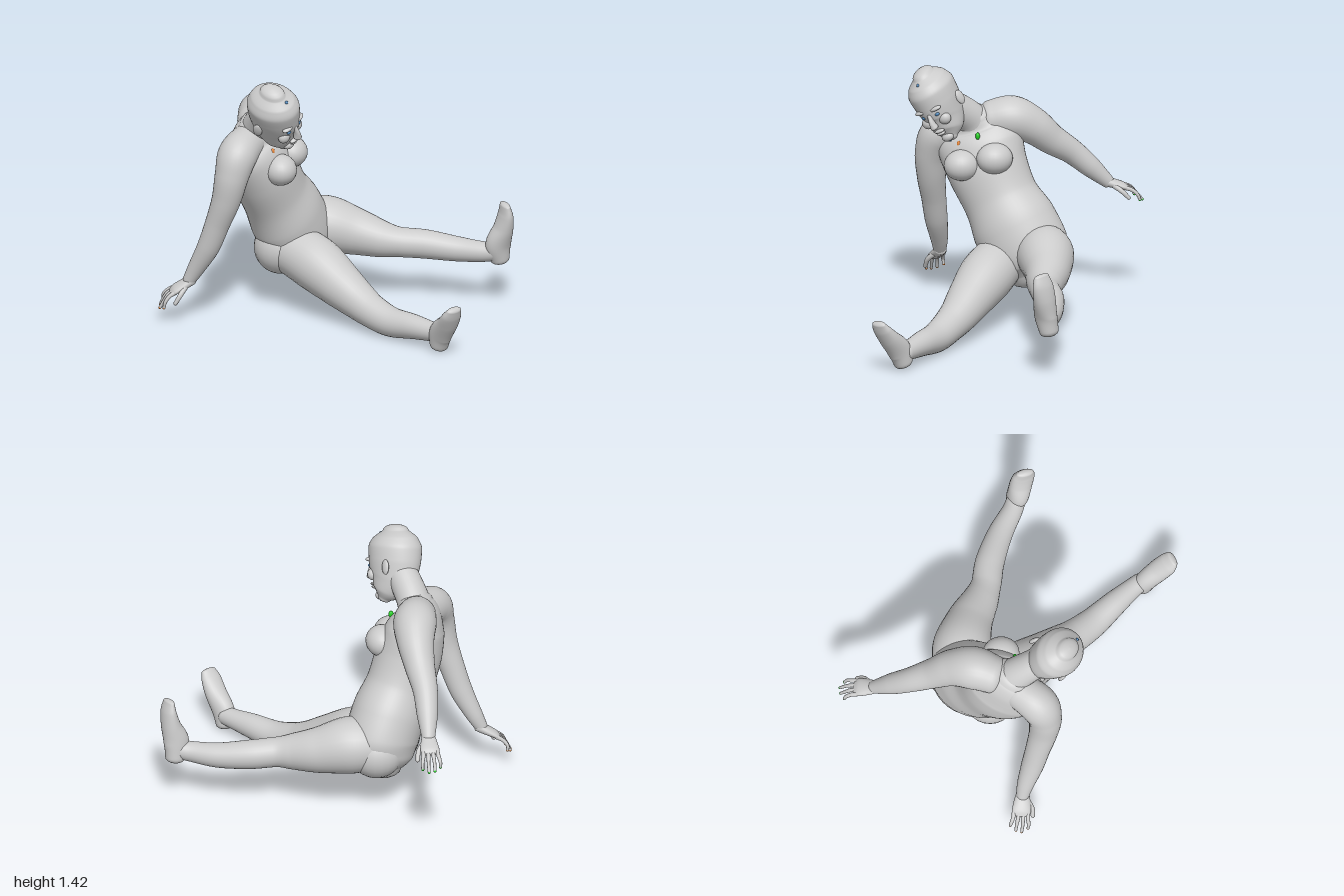
import * as THREE from 'three';

const V = (a) => new THREE.Vector3(...a);
const grey = new THREE.MeshStandardMaterial({ color: 0xcccccc });
const tint = (c) => new THREE.MeshStandardMaterial({ color: c });
const blue = tint(0x4f86b8), green = tint(0x22cc22), orange = tint(0xe08030);

// Smooth skin over rings [x, y, z, halfWidth, halfDepth], with rounded ends
function loft(name, rings, side = [1, 0, 0], { seg = 28, steps = 8, cap = 0.6 } = {}) {
  const path = new THREE.CatmullRomCurve3(rings.map((r) => V(r)));
  const size = new THREE.CatmullRomCurve3(rings.map((r) => V([r[3], r[4] ?? r[3], 0])));
  const sections = [];
  const add = (t, scale = 1, push = 0) => {
    const dir = path.getTangent(t), s = size.getPoint(t);
    const c = path.getPoint(t).addScaledVector(dir, push * Math.min(s.x, s.y));
    const u = V(side).addScaledVector(dir, -V(side).dot(dir)).normalize();
    sections.push({ c, u: u.clone().multiplyScalar(s.x * scale), v: u.cross(dir).multiplyScalar(s.y * scale) });
  };
  const n = (rings.length - 1) * steps;
  for (let k = 5; k > 0; k--) add(0, Math.cos(k * Math.PI / 10) + 0.001, -cap * Math.sin(k * Math.PI / 10));
  for (let i = 0; i <= n; i++) add(i / n);
  for (let k = 1; k <= 5; k++) add(1, Math.cos(k * Math.PI / 10) + 0.001, cap * Math.sin(k * Math.PI / 10));
  const pos = [], idx = [];
  sections.forEach(({ c, u, v }, i) => {
    for (let j = 0; j < seg; j++) {
      const a = (j / seg) * Math.PI * 2;
      const p = c.clone().addScaledVector(u, Math.cos(a)).addScaledVector(v, Math.sin(a));
      pos.push(p.x, p.y, p.z);
      if (i === sections.length - 1) continue;
      const q = i * seg + j, r = i * seg + (j + 1) % seg;
      idx.push(q, q + seg, r, r, q + seg, r + seg);
    }
  });
  const g = new THREE.BufferGeometry();
  g.setAttribute('position', new THREE.Float32BufferAttribute(pos, 3));
  g.setIndex(idx);
  g.computeVertexNormals();
  const m = new THREE.Mesh(g, grey);
  m.name = name;
  return m;
}

function blob(name, at, radii, material = grey) {
  const m = new THREE.Mesh(new THREE.SphereGeometry(1, 24, 16), material);
  m.position.set(...at);
  m.scale.set(...radii);
  m.name = name;
  return m;
}

// Palm, four curled fingers and a thumb; side points towards the thumb
function hand(name, wrist, forward, side, tipMaterial) {
  const g = new THREE.Group();
  g.name = name;
  const f = V(forward).normalize();
  const s = V(side).addScaledVector(f, -V(side).dot(f)).normalize();
  const up = s.clone().cross(f);
  if (up.y < 0) up.negate();
  const at = (a, b, c) => V(wrist).addScaledVector(f, a).addScaledVector(s, b).addScaledVector(up, c).toArray();
  g.add(loft('palm', [[...at(-0.02, 0, 0), 0.034, 0.03], [...at(0.03, 0, 0.002), 0.045, 0.025],
    [...at(0.085, 0, 0.006), 0.052, 0.019], [...at(0.11, 0, 0.003), 0.046, 0.014]], s.toArray()));
  const digit = (label, pts, r) => {
    g.add(loft(label, pts.map((p, i) => [...p, r * (1 - 0.12 * i)]), s.toArray(), { seg: 10, steps: 4, cap: 1 }));
    g.add(blob(label + 'Tip', pts[pts.length - 1], [0.008, 0.008, 0.008], tipMaterial));
  };
  [0.19, 0.212, 0.205, 0.18].forEach((len, i) => {
    const b = 0.036 - i * 0.025, spread = b * 1.3;
    digit('finger', [at(0.09, b, 0.004), at(0.13, b * 1.1, 0.006), at(0.165, spread, -0.006), at(len, spread, -0.03)], 0.0125);
  });
  digit('thumb', [at(0.03, 0.03, -0.004), at(0.075, 0.06, -0.015), at(0.12, 0.068, -0.035)], 0.015);
  return g;
}

// Head in its own frame: x to its left, y to the crown, z out of the face
function head() {
  const g = new THREE.Group();
  g.name = 'head';
  g.add(loft('skull', [
    [0, -0.205, 0.062, 0.04, 0.035], [0, -0.165, 0.04, 0.08, 0.088], [0, -0.09, 0.008, 0.103, 0.134],
    [0, 0, -0.005, 0.122, 0.15], [0, 0.07, -0.008, 0.128, 0.152], [0, 0.125, -0.01, 0.104, 0.126],
    [0, 0.162, -0.01, 0.058, 0.075]], [1, 0, 0], { seg: 40 }));
  g.add(loft('nose', [[0, -0.02, 0.136, 0.012, 0.012], [0, -0.06, 0.148, 0.015, 0.02], [0, -0.09, 0.15, 0.022, 0.024]],
    [1, 0, 0], { seg: 16 }));
  g.add(blob('upperLip', [0, -0.128, 0.126], [0.032, 0.01, 0.016]));
  g.add(blob('lowerLip', [0, -0.145, 0.122], [0.027, 0.01, 0.016]));
  g.add(blob('chin', [0, -0.19, 0.085], [0.036, 0.026, 0.028]));
  for (const s of [-1, 1]) {
    g.add(blob('brow', [s * 0.045, 0.005, 0.122], [0.04, 0.013, 0.022]));
    g.add(blob('eye', [s * 0.043, -0.028, 0.126], [0.015, 0.01, 0.012], blue));
    g.add(blob('cheek', [s * 0.055, -0.075, 0.1], [0.036, 0.034, 0.03]));
    const ear = blob('ear', [s * 0.125, -0.035, -0.025], [0.013, 0.042, 0.026]);
    ear.rotation.y = s * -0.35;
    g.add(ear);
  }
  g.add(blob('chinMark', [0, -0.215, 0.082], [0.009, 0.009, 0.009], blue));
  g.add(blob('foreheadMark', [0, 0.147, 0.085], [0.009, 0.009, 0.009], blue));
  const F = V([0.71, -0.26, 0.63]).normalize();
  const L = V([-0.1, 0.87, 0.47]).cross(F).normalize();
  g.setRotationFromMatrix(new THREE.Matrix4().makeBasis(L, F.clone().cross(L), F));
  g.position.set(-0.343, 1.25, 0.238);
  return g;
}

export function createModel() {
  const model = new THREE.Group();
  model.name = 'sittingFigure';
  const across = [0.45, 0.16, -0.87];

  // Trunk, from the seat to the neck
  model.add(loft('torso', [
    [-0.15, 0.28, -0.25, 0.14, 0.13], [-0.165, 0.34, -0.235, 0.205, 0.18], [-0.18, 0.42, -0.21, 0.24, 0.2],
    [-0.23, 0.54, -0.165, 0.235, 0.2], [-0.3, 0.68, -0.11, 0.208, 0.18], [-0.36, 0.83, -0.06, 0.222, 0.18],
    [-0.4, 0.96, -0.03, 0.235, 0.16], [-0.42, 1.05, -0.01, 0.195, 0.12], [-0.415, 1.11, 0.015, 0.12, 0.09]],
    across, { seg: 48 }));
  model.add(loft('neck', [[-0.42, 1.04, -0.02, 0.12, 0.1], [-0.405, 1.11, 0.03, 0.095, 0.09],
    [-0.385, 1.17, 0.1, 0.085, 0.088], [-0.36, 1.23, 0.19, 0.08, 0.085]], across));
  model.add(blob('leftBreast', [-0.215, 0.925, -0.05], [0.09, 0.085, 0.1]));
  model.add(blob('rightBreast', [-0.295, 0.88, 0.11], [0.09, 0.085, 0.1]));
  model.add(blob('leftButtock', [-0.13, 0.385, -0.305], [0.15, 0.145, 0.145]));
  model.add(blob('rightButtock', [-0.265, 0.36, -0.11], [0.145, 0.15, 0.145]));
  model.add(head());

  // Legs, hip to ankle
  model.add(loft('leftLeg', [
    [-0.12, 0.42, -0.285, 0.14], [0, 0.42, -0.265, 0.157], [0.17, 0.382, -0.218, 0.127], [0.3, 0.355, -0.16, 0.1],
    [0.39, 0.345, -0.13, 0.082], [0.52, 0.335, -0.11, 0.08], [0.7, 0.318, -0.05, 0.068], [0.83, 0.32, 0.015, 0.056],
    [0.9, 0.33, 0.04, 0.052]], [0, 1, 0]));
  model.add(loft('rightLeg', [
    [-0.22, 0.36, -0.1, 0.14], [-0.1, 0.31, 0.03, 0.15], [0.03, 0.22, 0.18, 0.125], [0.11, 0.165, 0.27, 0.105],
    [0.17, 0.13, 0.345, 0.092], [0.26, 0.1, 0.45, 0.082], [0.37, 0.108, 0.57, 0.068], [0.45, 0.11, 0.66, 0.055],
    [0.49, 0.11, 0.71, 0.05]], [0, 1, 0]));

  // Feet, heel to toes
  model.add(loft('leftFoot', [
    [0.915, 0.285, 0.03, 0.052, 0.055], [0.905, 0.37, 0.045, 0.057, 0.072], [0.932, 0.47, 0.062, 0.064, 0.052],
    [0.942, 0.55, 0.075, 0.063, 0.036], [0.938, 0.605, 0.083, 0.048, 0.022]], [-0.3, 0, -1]));
  model.add(loft('rightFoot', [
    [0.49, 0.055, 0.72, 0.05, 0.055], [0.495, 0.12, 0.74, 0.055, 0.07], [0.525, 0.205, 0.81, 0.062, 0.052],
    [0.54, 0.265, 0.857, 0.06, 0.036], [0.55, 0.302, 0.88, 0.046, 0.022]], [0.85, 0, -0.5]));

  // Arms, shoulder to wrist
  model.add(loft('leftArm', [
    [-0.4, 1.09, -0.09, 0.105], [-0.365, 1.1, -0.2, 0.118], [-0.345, 1.05, -0.31, 0.102], [-0.345, 0.96, -0.42, 0.083],
    [-0.35, 0.875, -0.54, 0.068], [-0.34, 0.785, -0.64, 0.058], [-0.325, 0.69, -0.74, 0.036]]));
  model.add(loft('rightArm', [
    [-0.46, 1.03, 0.04, 0.1], [-0.535, 0.99, 0.15, 0.108], [-0.57, 0.89, 0.185, 0.094], [-0.6, 0.75, 0.18, 0.08],
    [-0.645, 0.6, 0.15, 0.068], [-0.69, 0.46, 0.12, 0.062], [-0.755, 0.32, 0.08, 0.046], [-0.79, 0.25, 0.065, 0.035]]));
  model.add(hand('leftHand', [-0.325, 0.69, -0.74], [0.1, -0.36, -0.9], [1, 0, 0.1], green));
  model.add(hand('rightHand', [-0.79, 0.245, 0.065], [-0.82, -0.56, -0.08], [0, -0.1, 1], orange));

  // Small marks at the collar and on the raised sole
  model.add(blob('leftCollarMark', [-0.28, 1.04, 0.025], [0.014, 0.02, 0.012], green));
  model.add(blob('rightCollarMark', [-0.34, 0.985, 0.11], [0.014, 0.02, 0.014], orange));
  model.add(blob('rightCollarPiece', [-0.355, 0.99, 0.105], [0.02, 0.02, 0.02]));
  return model;
}
